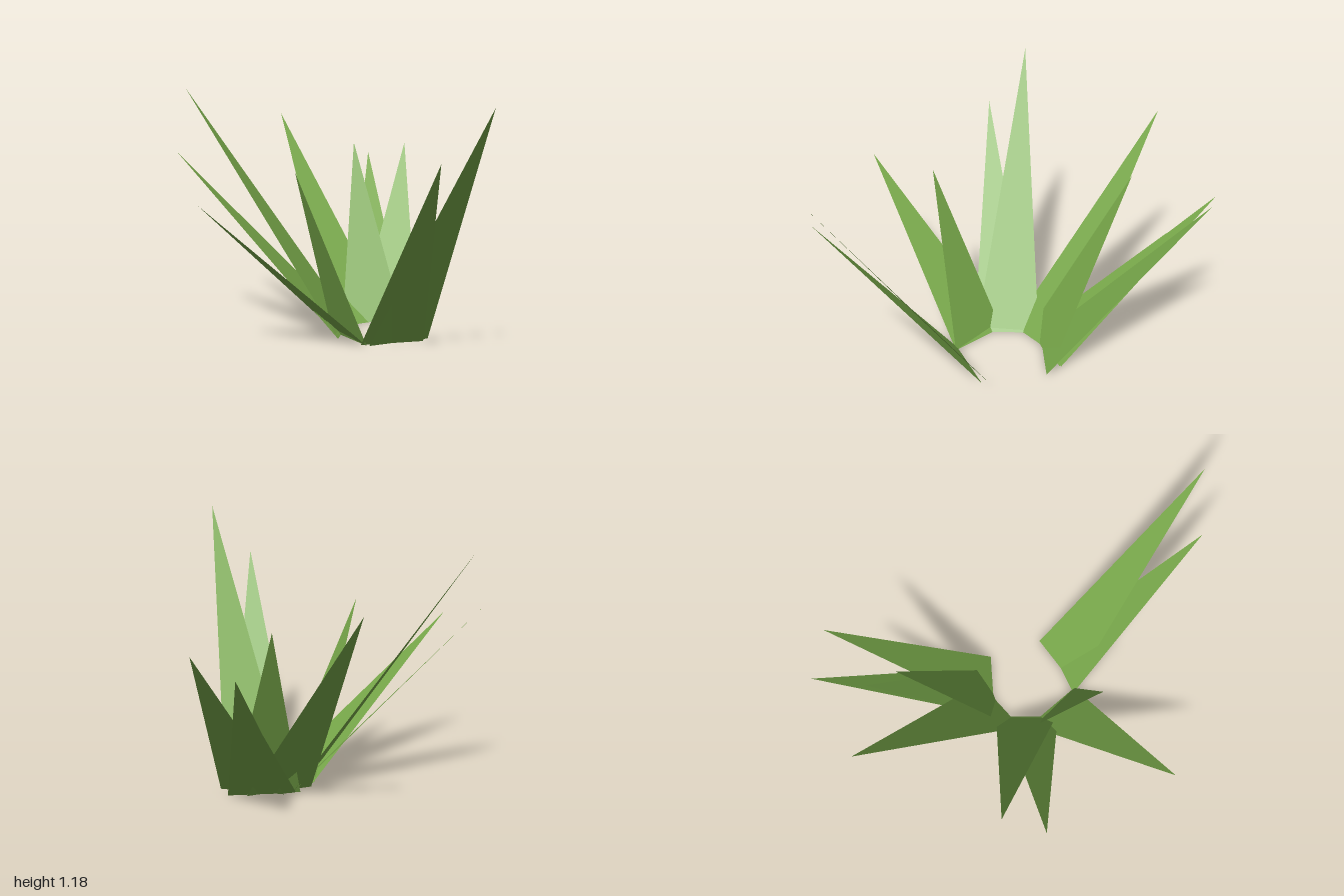
import * as THREE from 'three';

// Each blade: base start (x, z), base end (x, z), tip (x, y, z)
const blades = {
  frontBladeTall: [[0.38, 0.18], [0.07, 0.18], [0.225, 1.18, 1.0]],
  frontBladeShort: [[0.34, 0.21], [0.04, 0.15], [0.05, 0.95, 0.88]],
  rightBladeLow: [[0.06, 0.17], [0.03, -0.14], [-0.74, 0.72, 0.13]],
  rightBladeUpright: [[0.06, 0.17], [0.015, -0.125], [-0.26, 0.83, 0.08]],
  backRightBladeShort: [[-0.015, 0.01], [0.15, -0.22], [-0.64, 0.88, -0.51]],
  backRightBladeTall: [[-0.013, 0], [0.17, -0.25], [-0.54, 1.17, -0.66]],
  backBlade: [[0.05, -0.18], [0.37, -0.21], [0.1, 0.99, -1.0]],
  backBladeUpright: [[0.12, -0.235], [0.418, -0.15], [0.36, 0.86, -0.62]],
  backLeftBladeSmall: [[0.14, -0.23], [0.445, -0.17], [0.495, 0.575, -0.745]],
  backLeftBladeLow: [[0.16, -0.235], [0.45, -0.175], [0.597, 0.76, -0.94]],
  backLeftBladeWide: [[0.2, -0.24], [0.46, -0.08], [0.737, 0.825, -0.77]],
};

// A flat pointed leaf, rising from its base edge on the ground to its tip
function bladeGeometry([a, b, tip]) {
  const geometry = new THREE.BufferGeometry();
  const corners = [a[0], 0, a[1], b[0], 0, b[1], ...tip];
  geometry.setAttribute('position', new THREE.Float32BufferAttribute(corners, 3));
  geometry.computeVertexNormals();
  return geometry;
}

export function createModel() {
  const grass = new THREE.MeshStandardMaterial({ color: 0x78a84a, side: THREE.DoubleSide });
  grass.name = 'grassGreen';

  const tuft = new THREE.Group();
  tuft.name = 'grassTuft';
  for (const [name, points] of Object.entries(blades)) {
    const blade = new THREE.Mesh(bladeGeometry(points), grass);
    blade.name = name;
    tuft.add(blade);
  }
  return tuft;
}
